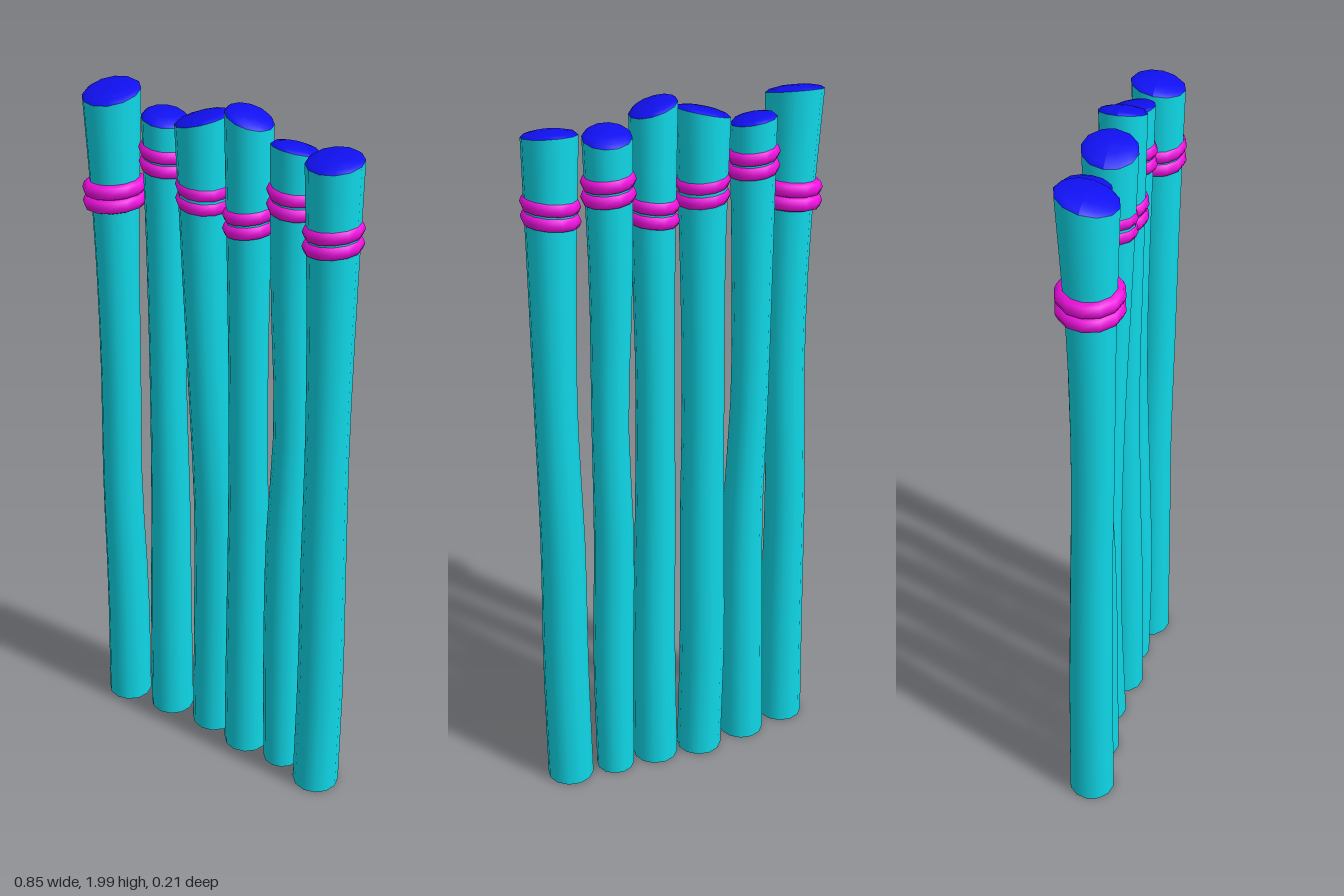
import * as THREE from 'three';

const mat = (color) => new THREE.MeshStandardMaterial({ color });
const SIDES = 12;

// One entry per post. keys: [x, z, radius] at equal steps from foot to top.
// tilt: slope of the cut top along x and z. bands: [height, x slope, outer radius].
const POSTS = [
  { top: 1.955, tilt: [0.03, -0.22], bands: [1.685, 0.08, 0.087],
    keys: [[-0.357, 0.0, 0.066], [-0.352, 0.0, 0.063], [-0.354, 0.005, 0.058], [-0.341, 0.01, 0.057], [-0.339, 0.01, 0.061], [-0.343, 0.005, 0.077]] },
  { top: 1.905, tilt: [-0.15, -0.08], bands: [1.8, -0.1, 0.07],
    keys: [[-0.206, -0.02, 0.066], [-0.202, -0.018, 0.062], [-0.198, -0.02, 0.057], [-0.206, -0.03, 0.052], [-0.204, -0.032, 0.055], [-0.2, -0.03, 0.061]] },
  { top: 1.935, tilt: [0.25, -0.06], bands: [1.738, -0.08, 0.072],
    keys: [[-0.053, -0.03, 0.066], [-0.055, -0.042, 0.065], [-0.053, -0.04, 0.062], [-0.062, -0.025, 0.058], [-0.066, -0.01, 0.06], [-0.066, -0.006, 0.071]] },
  { top: 1.965, tilt: [-0.3, 0.0], bands: [1.7, 0.1, 0.068],
    keys: [[0.083, -0.006, 0.066], [0.083, -0.004, 0.061], [0.08, -0.01, 0.057], [0.076, -0.01, 0.053], [0.076, -0.006, 0.056], [0.074, -0.006, 0.062]] },
  { top: 1.91, tilt: [-0.1, 0.22], bands: [1.782, -0.08, 0.071],
    keys: [[0.215, -0.002, 0.055], [0.213, 0.0, 0.058], [0.207, -0.008, 0.056], [0.214, -0.015, 0.05], [0.204, -0.016, 0.056], [0.205, -0.014, 0.063]] },
  { top: 1.92, tilt: [0.02, -0.14], bands: [1.73, 0.1, 0.077],
    keys: [[0.35, 0.023, 0.067], [0.353, 0.022, 0.065], [0.348, 0.022, 0.062], [0.35, 0.03, 0.058], [0.347, 0.03, 0.062], [0.34, 0.028, 0.072]] },
];

// Moves every vertex of a geometry by a rule
function reshape(geo, rule) {
  const p = geo.attributes.position, v = new THREE.Vector3();
  for (let i = 0; i < p.count; i++) {
    rule(v.fromBufferAttribute(p, i));
    p.setXYZ(i, v.x, v.y, v.z);
  }
  return geo;
}

function makePost({ top, tilt, bands, keys }) {
  const post = new THREE.Group();
  post.name = 'post';
  const add = (name, geo, color) => {
    const mesh = new THREE.Mesh(geo, mat(color));
    mesh.name = name;
    post.add(mesh);
    return mesh;
  };

  // Curve carries x, radius (in y) and z along the post
  const curve = new THREE.CatmullRomCurve3(
    keys.map(([x, z, r]) => new THREE.Vector3(x, r, z)), false, 'catmullrom', 0.5);
  const slope = (dx, dz) => tilt[0] * dx + tilt[1] * dz;

  // Wavering shaft with closed foot and slanted upper rim
  const shaft = reshape(new THREE.CylinderGeometry(1, 1, 1, SIDES, 12, true), (v) => {
    const t = v.y + 0.5, c = curve.getPoint(t);
    const dx = v.x * c.y, dz = v.z * c.y;
    v.set(c.x + dx, t * top + slope(dx, dz) * t ** 8, c.z + dz);
  });
  add('shaft', shaft, 0x10d8e8);

  const [fx, fz, fr] = keys[0];
  const foot = add('foot', new THREE.CircleGeometry(fr, SIDES), 0x10d8e8);
  foot.rotation.x = Math.PI / 2;
  foot.position.set(fx, 0, fz);

  // Shallow domed cap on the cut end
  const [tx, tz, tr] = keys[keys.length - 1];
  const cap = reshape(new THREE.SphereGeometry(1, SIDES, 3, 0, Math.PI * 2, 0, Math.PI / 2), (v) => {
    const dx = v.x * tr, dz = v.z * tr;
    v.set(tx + dx, top + slope(dx, dz) + 0.016 * v.y, tz + dz);
  });
  cap.computeVertexNormals();
  add('cap', cap, 0x1010f0);

  // Pair of cord rings
  const [h, bandSlope, outer] = bands, tube = 0.021;
  const c = curve.getPoint(h / top);
  for (const s of [-1, 1]) {
    const ring = reshape(
      new THREE.TorusGeometry(outer - tube, tube, 8, SIDES).rotateX(Math.PI / 2),
      (v) => { v.y += v.x * bandSlope; });
    add('cordRing', ring, 0xf010e0).position.set(c.x, h + s * 0.019, c.z);
  }
  return post;
}

export function createModel() {
  const model = new THREE.Group();
  model.name = 'postRow';
  POSTS.forEach((p) => model.add(makePost(p)));
  return model;
}
